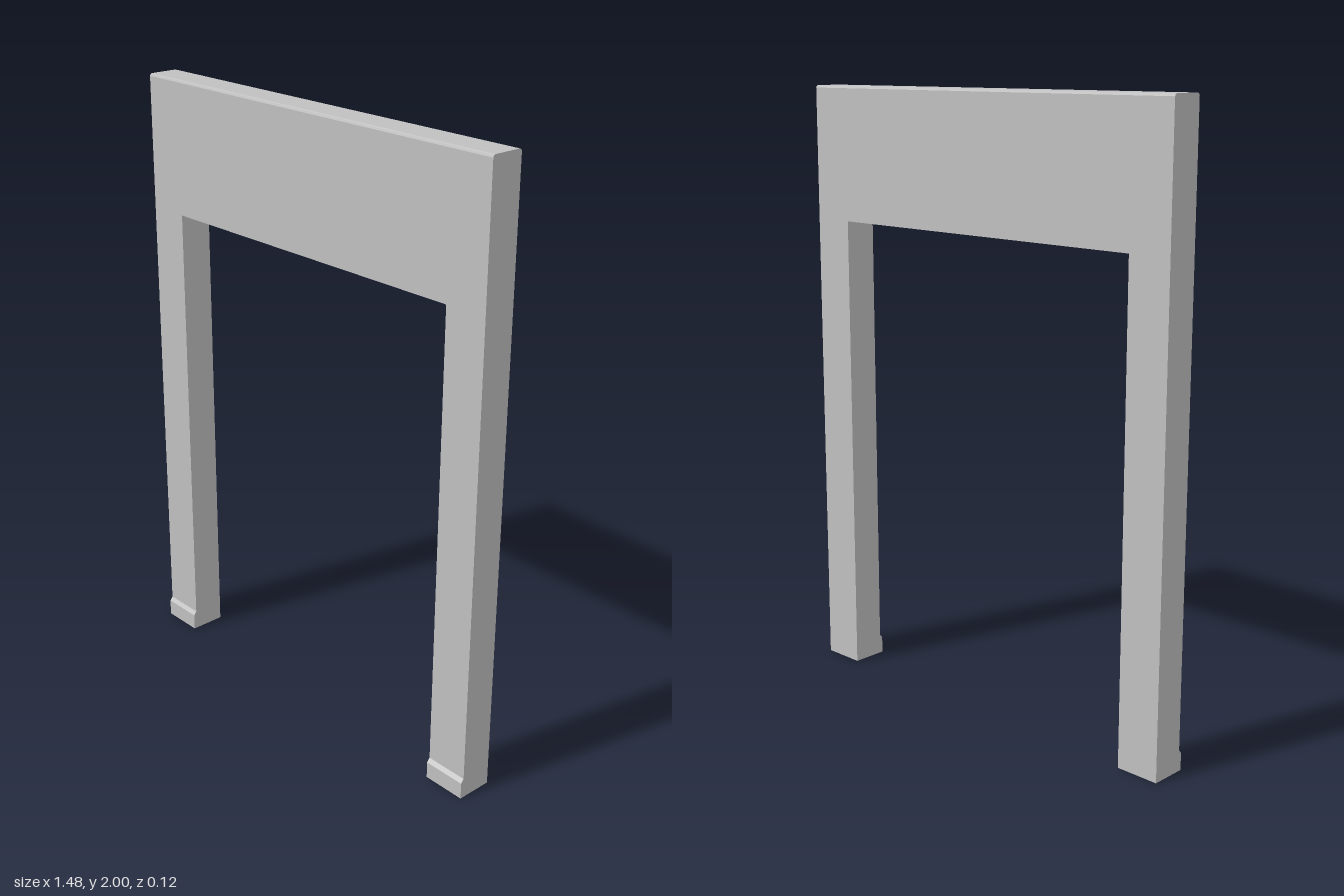
import * as THREE from 'three';

const BACK = -0.06, FRONT = 0.05, FOOT_FRONT = 0.06;
const HALF_WIDTH = 0.74, HALF_OPENING = 0.595, OPENING_TOP = 1.56, TOP = 2;

// Sweeps a [z, y] cross-section along x from x0 to x1.
function sweepX(profile, x0, x1) {
  const shape = new THREE.Shape(profile.map(([z, y]) => new THREE.Vector2(-z, y)));
  const geometry = new THREE.ExtrudeGeometry(shape, { depth: x1 - x0, bevelEnabled: false });
  geometry.rotateY(Math.PI / 2);
  geometry.translate(x0, 0, 0);
  return geometry;
}

export function createModel() {
  const group = new THREE.Group();
  group.name = 'doorFrame';
  const paint = new THREE.MeshStandardMaterial({ color: 0xc0c0c0 });
  paint.name = 'lightGrey';

  const add = (name, geometry) => {
    const mesh = new THREE.Mesh(geometry, paint);
    mesh.name = name;
    group.add(mesh);
  };

  // Deep header with softened top edges
  const b = 0.008;
  add('header', sweepX([
    [BACK, OPENING_TOP], [FRONT, OPENING_TOP], [FRONT, TOP - b], [FRONT - b * 0.3, TOP - b * 0.3],
    [FRONT - b, TOP], [BACK + b, TOP], [BACK + b * 0.3, TOP - b * 0.3], [BACK, TOP - b],
  ], -HALF_WIDTH, HALF_WIDTH));

  // Posts, each stepping forward into a chamfered plinth at the floor
  const post = [
    [BACK, 0], [FOOT_FRONT, 0], [FOOT_FRONT, 0.055], [FRONT, 0.068],
    [FRONT, OPENING_TOP], [BACK, OPENING_TOP],
  ];
  add('leftPost', sweepX(post, HALF_OPENING, HALF_WIDTH));
  add('rightPost', sweepX(post, -HALF_WIDTH, -HALF_OPENING));

  return group;
}
